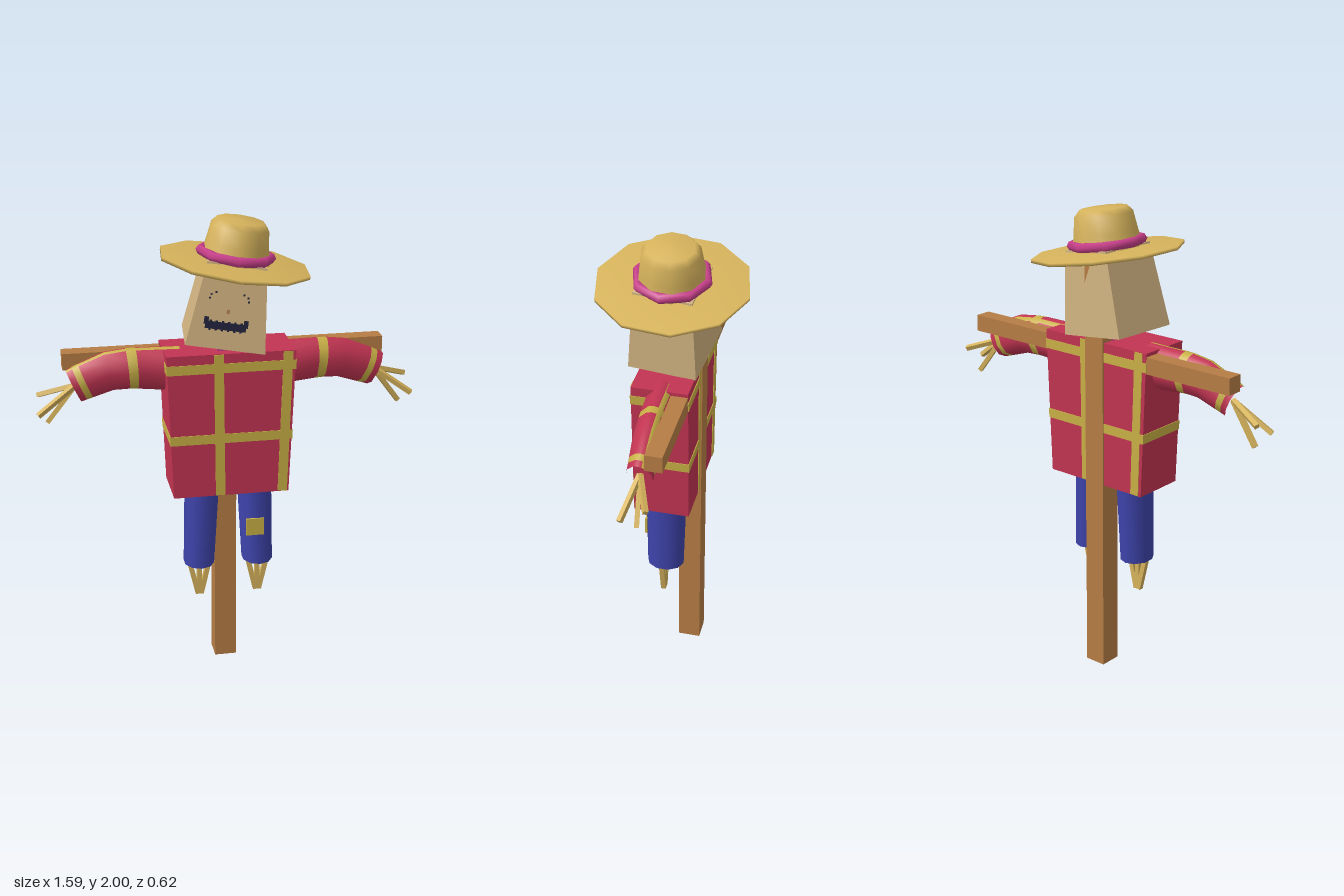
import * as THREE from 'three';

const mat = (name, hex) => {
  const m = new THREE.MeshStandardMaterial({ color: hex });
  m.name = name;
  return m;
};
const wood = mat('wood', 0xb67d45), red = mat('shirtRed', 0xc23452), yellow = mat('checkYellow', 0xc9b046),
  straw = mat('straw', 0xd6b35c), sack = mat('sackcloth', 0xd0b280), blue = mat('trouserBlue', 0x3f44ac),
  pink = mat('ribbonPink', 0xc83f8a), dark = mat('stitchNavy', 0x20223c), nose = mat('noseBrown', 0xb08050);

export function createModel() {
  const root = new THREE.Group();
  root.name = 'scarecrow';

  const add = (name, geo, material, parent = root, pos = [0, 0, 0]) => {
    const m = new THREE.Mesh(geo, material);
    m.name = name;
    m.position.set(...pos);
    parent.add(m);
    return m;
  };
  const box = (name, w, h, d, material, pos, parent = root) =>
    add(name, new THREE.BoxGeometry(w, h, d), material, parent, pos);

  // Box standing on y = 0 whose half sizes change from bottom to top
  const taperedBox = (bx, bz, tx, tz, h) => {
    const g = new THREE.BoxGeometry(2, h, 2).translate(0, h / 2, 0);
    const p = g.attributes.position;
    for (let i = 0; i < p.count; i++) {
      const top = p.getY(i) > h / 2;
      p.setX(i, p.getX(i) * (top ? tx : bx));
      p.setZ(i, p.getZ(i) * (top ? tz : bz));
    }
    g.computeVertexNormals();
    return g;
  };

  // Square stick between two points
  const stick = (name, a, b, w) => {
    const A = new THREE.Vector3(...a), B = new THREE.Vector3(...b);
    const m = box(name, w, A.distanceTo(B), w, straw, A.clone().add(B).multiplyScalar(0.5).toArray());
    m.quaternion.setFromUnitVectors(new THREE.Vector3(0, 1, 0), B.sub(A).normalize());
  };

  // Wooden cross
  box('post', 0.094, 1.86, 0.095, wood, [-0.003, 0.93, -0.0795]);
  box('crossbar', 1.345, 0.07, 0.07, wood, [-0.002, 1.415, -0.083]);

  // Shirt body with checks
  const y0 = 0.845, h = 0.62, zc = -0.003;
  const halfW = y => 0.243 + 0.024 * (y - y0) / h;
  add('shirtBody', taperedBox(halfW(y0), 0.116, halfW(y0 + h), 0.116, h), red, root, [-0.003, y0, zc]);
  for (const y of [1.08, 1.385])
    add('shirtBand', taperedBox(halfW(y) + 0.003, 0.119, halfW(y + 0.04) + 0.003, 0.119, 0.04), yellow, root, [-0.003, y, zc]);
  for (const side of [1, -1])
    for (const [x, lean] of [[-0.053, 0.01], [0.222, -0.03]])
      box('shirtStripe', 0.04, h - 0.004, 0.004, yellow, [x * side, y0 + h / 2, zc + side * 0.117]).rotation.z = lean * side;
  box('collar', 0.15, 0.03, 0.14, pink, [0.02, 1.475, 0]);

  // Sleeves: oval cross-sections [x, y, z, half height, half depth, tilt, ring colour]
  const rings = [
    [0.2, 1.375, -0.005, 0.096, 0.07, 0, 0], [0.375, 1.384, -0.01, 0.088, 0.065, 0.04, 1],
    [0.413, 1.384, -0.012, 0.087, 0.064, 0.08, 0], [0.49, 1.377, -0.015, 0.084, 0.062, 0.22, 0],
    [0.585, 1.341, -0.018, 0.079, 0.056, 0.38, 1], [0.61, 1.331, -0.018, 0.077, 0.054, 0.4, 0],
    [0.634, 1.321, -0.019, 0.075, 0.052, 0.42, 0]];
  const angles = [0, 36, 72, 90, 108, 126, 160, 195, 230, 270, 315];
  const sleeve = (s, stripe) => {
    const pos = [], lists = [[], []], n = angles.length;
    const ring = ([x, y, z, ry, rz, t]) => angles.forEach(deg => {
      const a = deg * Math.PI / 180, u = ry * Math.sin(a);
      pos.push(s * (x + u * Math.sin(t)), y + u * Math.cos(t), z + rz * Math.cos(a));
    });
    const tri = (list, a, b, c) => s > 0 ? list.push(a, b, c) : list.push(a, c, b);
    rings.forEach(ring);
    for (let i = 0; i < rings.length - 1; i++)
      for (let j = 0; j < n; j++) {
        const list = lists[rings[i][6] || j === stripe ? 1 : 0];
        const a = i * n + j, b = i * n + (j + 1) % n;
        tri(list, a, a + n, b + n);
        tri(list, a, b + n, b);
      }
    // Cuff end
    const last = rings[rings.length - 1], start = pos.length / 3;
    ring(last);
    pos.push(s * last[0], last[1], last[2]);
    for (let j = 0; j < n; j++) tri(lists[0], start + j, start + n, start + (j + 1) % n);
    for (let k = lists[0].length - 3 * n; k < lists[0].length; k += 3)
      [lists[0][k + 1], lists[0][k + 2]] = [lists[0][k + 2], lists[0][k + 1]];
    for (let k = lists[0].length - 3 * n; k < lists[0].length; k += 3)
      [lists[0][k + 1], lists[0][k + 2]] = [lists[0][k + 2], lists[0][k + 1]];
    for (let k = lists[0].length - 3 * n; k < lists[0].length; k += 3)
      [lists[0][k + 1], lists[0][k + 2]] = [lists[0][k + 2], lists[0][k + 1]];
    const g = new THREE.BufferGeometry();
    g.setAttribute('position', new THREE.Float32BufferAttribute(pos, 3));
    g.setIndex([...lists[0], ...lists[1]]);
    g.addGroup(0, lists[0].length, 0);
    g.addGroup(lists[0].length, lists[1].length, 1);
    g.computeVertexNormals();
    add(s > 0 ? 'leftSleeve' : 'rightSleeve', g, [red, yellow]);
  };
  sleeve(1, 4);
  sleeve(-1, 2);

  for (const s of [1, -1]) {
    // Straw fingers
    for (const [x, y, z] of [[0.78, 1.27, -0.08], [0.785, 1.215, 0.02], [0.745, 1.165, -0.035]])
      stick('finger', [s * 0.625, 1.325, -0.02], [s * x, y, z], 0.019);

    // Trouser leg, leaning slightly outward
    const leg = new THREE.CylinderGeometry(0.073, 0.066, 0.37, 10);
    leg.scale(1, 1, 1.2);
    const p = leg.attributes.position;
    for (let i = 0; i < p.count; i++) p.setX(i, p.getX(i) - s * 0.04 * p.getY(i));
    add('trouserLeg', leg, blue, root, [s * 0.12, 0.68, 0.007]);

    // Straw foot
    for (const dx of [-0.045, 0, 0.045])
      stick('footStraw', [s * 0.127 + dx, 0.51, 0.015], [s * 0.127 + dx * 0.15, 0.345, 0.015], 0.021);
  }
  box('kneePatch', 0.076, 0.076, 0.009, yellow, [0.102, 0.678, 0.091]);

  // Head, tilted and slightly turned
  const head = new THREE.Group();
  head.name = 'head';
  head.position.set(-0.02, 1.49, 0);
  head.rotation.set(0, -0.11, -0.15, 'ZYX');
  root.add(head);
  add('sackHead', taperedBox(0.163, 0.143, 0.12, 0.122, 0.345), sack, head);

  // Face details on thin plates following the sloped front
  const plate = (name, x, y, w, hgt, material, turn = 0) =>
    box(name, w, hgt, 0.004, material, [x, y, 0.144 - 0.061 * y], head).rotation.set(-0.061, 0, turn);
  plate('mouth', -0.012, 0.095, 0.165, 0.03, dark);
  for (const s of [1, -1]) {
    plate('mouthCorner', -0.012 + s * 0.08, 0.112, 0.018, 0.03, dark);
    for (const [dx, dy] of [[-0.01, 0.014], [0.008, 0.004], [0.012, -0.012]])
      plate('eyeStitch', s * 0.066 - 0.012 + s * dx, 0.215 + dy, 0.007, 0.007, dark);
  }
  for (let i = 0; i < 6; i++)
    plate('mouthStitch', -0.075 + i * 0.025, 0.095, 0.009, 0.041, dark);
  plate('nose', -0.01, 0.155, 0.012, 0.016, nose);

  // Straw hat
  const hat = new THREE.Group();
  hat.name = 'hat';
  hat.position.set(0, 0.325, 0);
  head.add(hat);
  const lathe = (pts, sides) => new THREE.LatheGeometry(pts.map(([x, y]) => new THREE.Vector2(x, y)), sides);
  add('brim', lathe([[0, -0.01], [0.13, -0.01], [0.314, -0.008], [0.314, 0.006], [0.13, 0.014]], 10), straw, hat);
  add('crown', lathe([[0.145, 0.005], [0.131, 0.08], [0.12, 0.15], [0.098, 0.175], [0, 0.18]], 10), straw, hat);
  const band = new THREE.TorusGeometry(0.143, 0.021, 6, 8).rotateX(Math.PI / 2);
  add('hatBand', band, pink, hat, [0, 0.036, 0]);

  return root;
}
